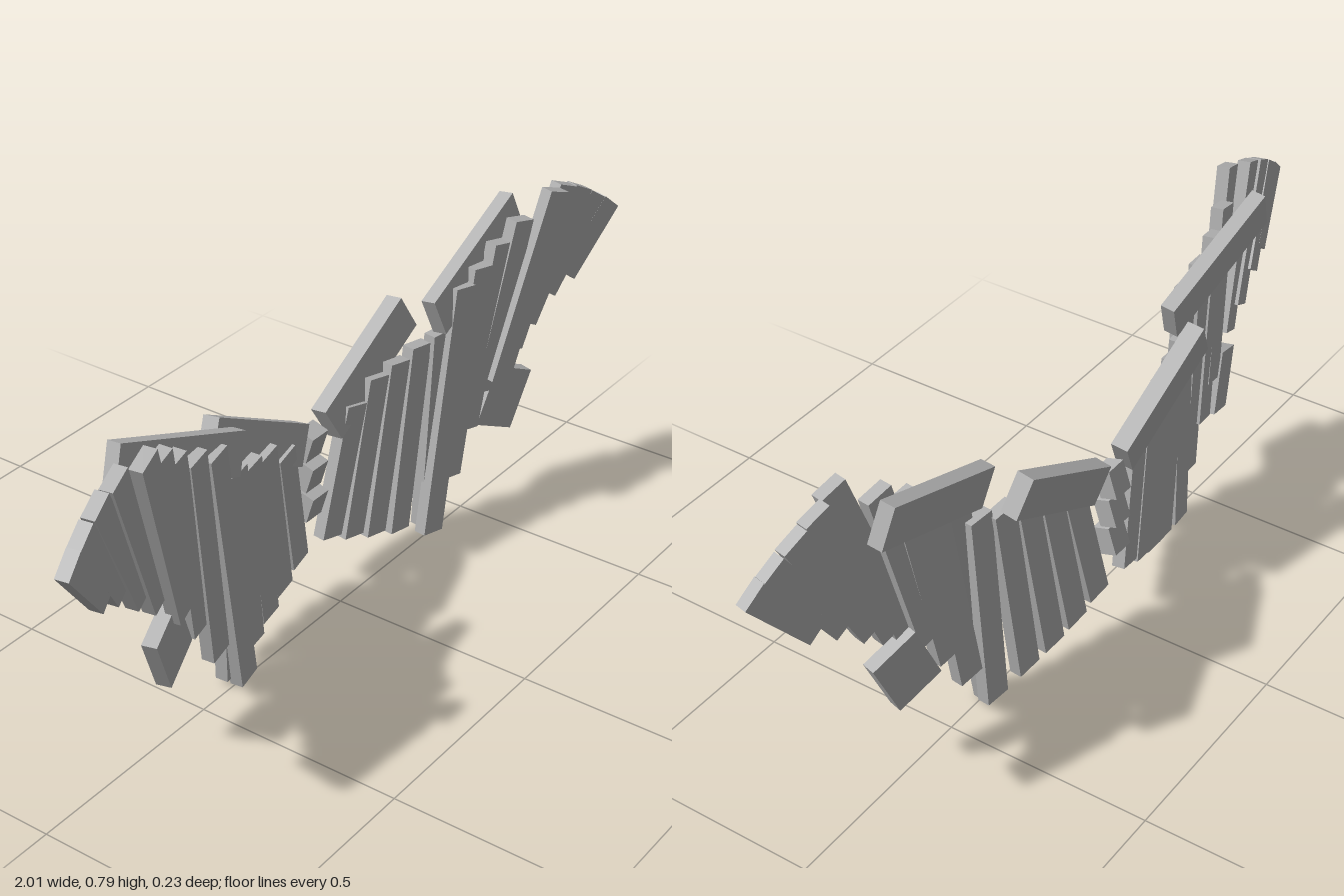
import * as THREE from 'three';

const V = (a) => new THREE.Vector3(...a);

export function createModel() {
  const model = new THREE.Group();
  model.name = 'wings';
  const grey = new THREE.MeshStandardMaterial({ color: 0xb3b3b3 });
  grey.name = 'plainGrey';

  // Box running from point a to point b, its broad side facing the given normal
  function slab(parent, name, a, b, width, depth, normal) {
    const dir = V(b).sub(V(a));
    const mesh = new THREE.Mesh(new THREE.BoxGeometry(width, dir.length(), depth), grey);
    const y = dir.normalize();
    const x = y.clone().cross(V(normal)).normalize();
    const z = x.clone().cross(y);
    mesh.quaternion.setFromRotationMatrix(new THREE.Matrix4().makeBasis(x, y, z));
    mesh.position.copy(V(a).add(V(b)).multiplyScalar(0.5));
    mesh.name = name;
    parent.add(mesh);
  }

  // Each feather: lower end, upper end
  const innerFeathers = [
    [[0.062, 0.118, -0.082], [0.132, 0.445, -0.062]],
    [[0.135, 0.086, -0.072], [0.207, 0.485, -0.054]],
    [[0.205, 0.06, -0.058], [0.274, 0.497, -0.043]],
    [[0.28, 0.037, -0.042], [0.34, 0.515, -0.03]],
    [[0.378, 0.016, -0.025], [0.4, 0.528, -0.012]],
  ];
  const middleFeathers = [
    [[0.36, 0.005, 0.0], [0.455, 0.63, 0.012]],
    [[0.445, 0.118, -0.007], [0.523, 0.655, 0.016]],
    [[0.51, 0.222, -0.003], [0.595, 0.69, 0.024]],
    [[0.56, 0.305, 0.005], [0.655, 0.73, 0.04]],
  ];
  const outerFeathers = [
    [[0.595, 0.325, 0.03], [0.742, 0.782, 0.08]],
    [[0.66, 0.385, 0.022], [0.81, 0.768, 0.064]],
    [[0.715, 0.43, 0.026], [0.871, 0.742, 0.07]],
    [[0.785, 0.487, 0.036], [0.928, 0.707, 0.08]],
    [[0.848, 0.515, 0.052], [0.975, 0.673, 0.09]],
  ];

  for (const side of [1, -1]) {
    const wing = new THREE.Group();
    wing.name = side > 0 ? 'leftWing' : 'rightWing';
    model.add(wing);
    const m = ([x, y, z]) => [x * side, y, z];
    const add = (name, a, b, w, d, n) => slab(wing, name, m(a), m(b), w, d, m(n));

    // Arm bars along the upper rear edge
    add('innerArm', [0.053, 0.422, -0.077], [0.354, 0.58, -0.084], 0.096, 0.042, [0, 0.16, 0.985]);
    add('outerArm', [0.363, 0.582, -0.001], [0.718, 0.716, -0.024], 0.098, 0.036, [0.06, 0.14, 0.985]);

    // Overlapping feathers, turning forward towards the tip
    for (const [name, list, yaw] of [
      ['innerFeather', innerFeathers, 0.1],
      ['middleFeather', middleFeathers, 0.14],
      ['outerFeather', outerFeathers, 0.2],
    ]) {
      for (const [low, high] of list) {
        add(name, low, high, 0.064, 0.031, [-Math.sin(yaw), 0, Math.cos(yaw)]);
      }
    }

    // Short plate hanging below the wing bend
    add('lowerPlate', [0.6, 0.192, 0.01], [0.658, 0.333, 0.027], 0.12, 0.035, [-0.27, 0, 0.96]);
  }

  // Tilted spine blocks between the wings
  for (const y of [0.241, 0.32, 0.399]) {
    const block = new THREE.Mesh(new THREE.BoxGeometry(0.057, 0.07, 0.044), grey);
    block.position.set(0, y, -0.086);
    block.rotation.x = 0.3;
    block.name = 'spineBlock';
    model.add(block);
  }
  return model;
}
